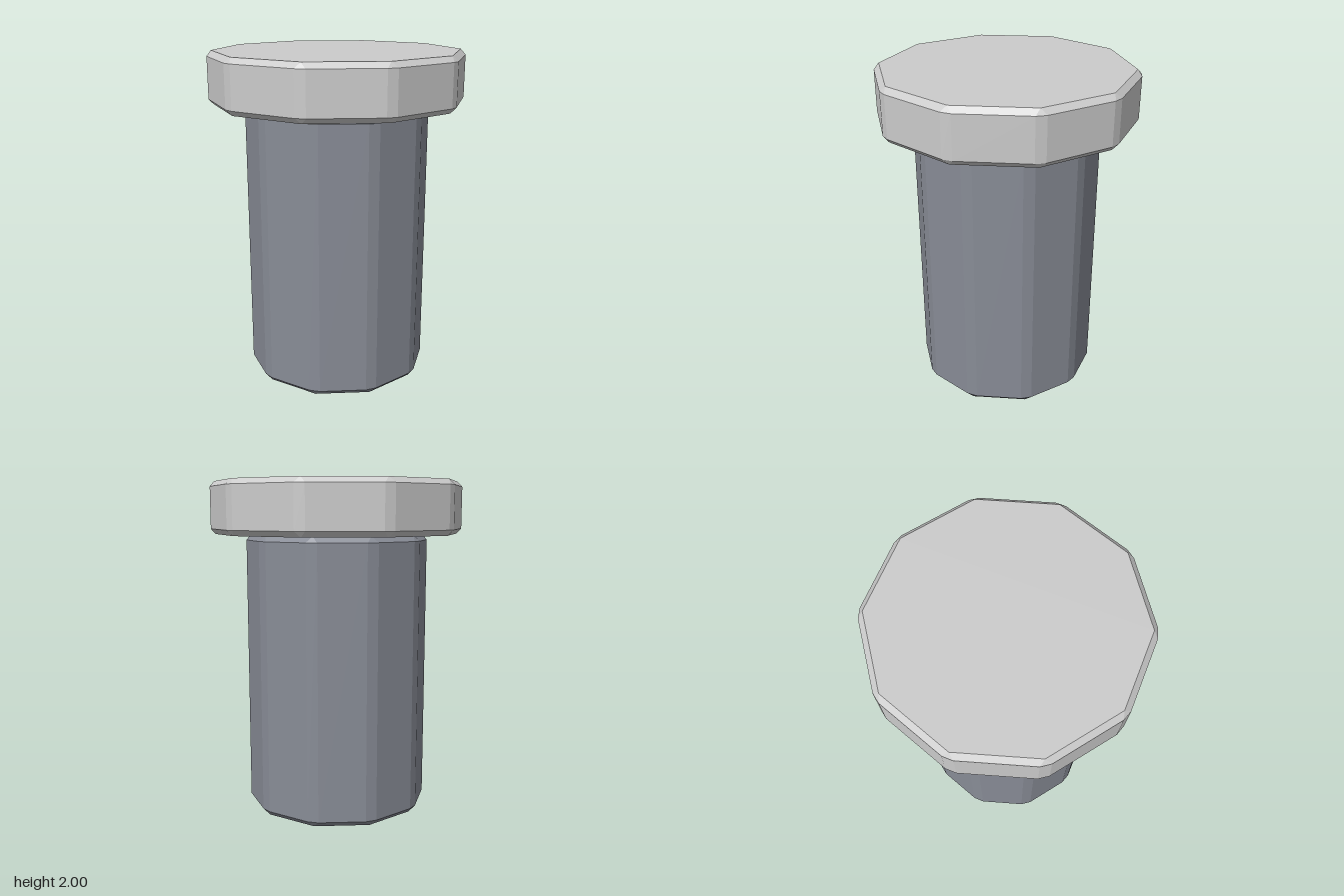
import * as THREE from 'three';

const SIDES = 10;

// Upright ten-sided prism with every edge chamfered by b; apothem = centre to side face
function chamferedPrism(apothem, y0, y1, b) {
  const half = Math.PI / SIDES;
  const edge = apothem * Math.tan(half) - b; // half width of a side face
  const ringR = Math.hypot(apothem, edge);
  const spread = half - Math.atan2(edge, apothem); // half angle of a corner chamfer
  const capR = (apothem - b) / Math.cos(half);
  const point = (r, a, y) => [r * Math.sin(a), y, r * Math.cos(a)];
  const pos = [];
  const face = (...p) => { // convex fan, counterclockwise from outside
    for (let i = 1; i < p.length - 1; i++) pos.push(...p[0], ...p[i], ...p[i + 1]);
  };

  const cap = (k, y) => point(capR, k * 2 * half, y);
  const before = (k, y) => point(ringR, k * 2 * half - spread, y);
  const after = (k, y) => point(ringR, k * 2 * half + spread, y);
  const lo = y0 + b, hi = y1 - b;

  for (let k = 0; k < SIDES; k++) {
    const n = (k + 1) % SIDES;
    // corner strip and its two end triangles
    face(before(k, lo), after(k, lo), after(k, hi), before(k, hi));
    face(before(k, hi), after(k, hi), cap(k, y1));
    face(after(k, lo), before(k, lo), cap(k, y0));
    // side face and the chamfers above and below it
    face(after(k, lo), before(n, lo), before(n, hi), after(k, hi));
    face(after(k, hi), before(n, hi), cap(n, y1), cap(k, y1));
    face(before(n, lo), after(k, lo), cap(k, y0), cap(n, y0));
  }
  // end caps
  const ks = Array.from({ length: SIDES }, (_, k) => k);
  face(...ks.map(k => cap(k, y1)));
  face(...ks.map(k => cap(SIDES - 1 - k, y0)));

  const geo = new THREE.BufferGeometry();
  geo.setAttribute('position', new THREE.Float32BufferAttribute(pos, 3));
  geo.computeVertexNormals();
  return geo;
}

export function createModel() {
  const group = new THREE.Group();
  const add = (name, geo, color) => {
    const mesh = new THREE.Mesh(geo, new THREE.MeshStandardMaterial({ color, flatShading: true }));
    mesh.name = name;
    group.add(mesh);
  };
  add('shaft', chamferedPrism(0.535, 0, 1.685, 0.035), 0x888c96);
  add('head', chamferedPrism(0.737, 1.685, 2, 0.032), 0xcccccc);
  return group;
}
